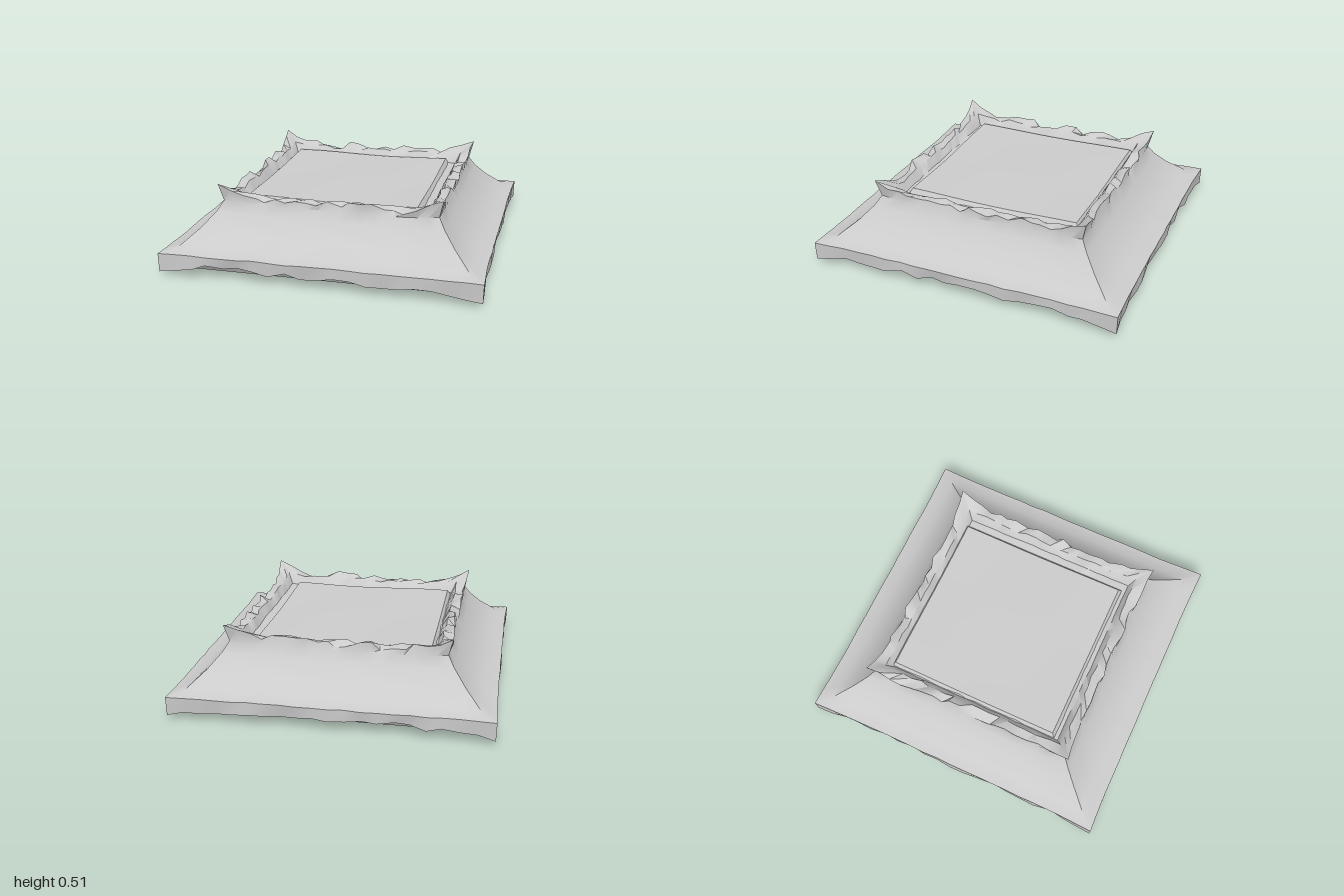
import * as THREE from 'three';
import { toCreasedNormals } from 'three/addons/utils/BufferGeometryUtils.js';

const SEG = 20; // segments along each side

// repeatable noise in -1..1
function noise(a, b) {
  const s = Math.sin(a * 12.9898 + b * 78.233) * 43758.5453;
  return (s - Math.floor(s)) * 2 - 1;
}

// Cross-section of the roof: half width, height, chipping, corner lift, corner flare
const profile = [
  [0.800, 0.005, 0, 0, 0],
  [0.822, 0.00, 0, 0, 0],
  [0.86, 0.062, 0.006, -0.005, 0],
  [0.957, 0.070, 0.022, -0.042, 0.015],  // chipped lower eave
  [0.965, 0.144, 0.004, 0, 0.01],
  [0.88, 0.160, 0, 0.003, 0],
  [0.78, 0.237, 0, 0.015, 0],
  [0.705, 0.328, 0, 0.01, 0],
  [0.672, 0.385, 0, 0.015, -0.005],
  [0.668, 0.425, 0.030, 0.085, 0.026],   // chipped upper rim with corner horns
  [0.612, 0.424, 0.014, 0.02, 0],
  [0.580, 0.372, 0.006, 0, 0],
  [0.50, 0.367, 0, 0, 0],                // ledge under the panel
  [0.580, 0.356, 0.012, 0, 0],           // thin underside following the slope
  [0.648, 0.375, 0.010, 0, 0],
  [0.690, 0.318, 0, 0.01, 0],
  [0.768, 0.225, 0, 0.015, 0],
  [0.870, 0.145, 0, 0.003, 0],
  [0.838, 0.065, 0, 0, 0],               // inside of the base skirt
  [0.800, 0.005, 0, 0, 0],
];

function ringPoint([half, y, chip, lift, flare], ring, j) {
  const k = j % (SEG * 4);
  const side = Math.floor(k / SEG);
  const t = ((k % SEG) / SEG) * 2 - 1;
  const corner = Math.pow(Math.max(0, (Math.abs(t) - 0.7) / 0.3), 1.3);
  const rough = chip * (1 - corner);
  const width = half + flare * corner;
  const p = new THREE.Vector3(
    t * width + rough * 0.6 * noise(k, ring + 3),
    y + lift * corner + rough * noise(k, ring),
    width + rough * 0.5 * noise(k, ring + 7),
  );
  p.applyAxisAngle(new THREE.Vector3(0, 1, 0), side * Math.PI / 2);
  p.z *= 1 + 0.06 * (half - 0.63); // eaves are a little deeper than wide
  return p;
}

// Joins the square rings into one closed shell
function roofGeometry() {
  const positions = [];
  for (let i = 0; i < profile.length - 1; i++) {
    for (let j = 0; j < SEG * 4; j++) {
      const a = ringPoint(profile[i], i, j);
      const b = ringPoint(profile[i], i, j + 1);
      const c = ringPoint(profile[i + 1], i + 1, j + 1);
      const d = ringPoint(profile[i + 1], i + 1, j);
      for (const p of [a, b, c, a, c, d]) positions.push(p.x, p.y, p.z);
    }
  }
  const g = new THREE.BufferGeometry();
  g.setAttribute('position', new THREE.Float32BufferAttribute(positions, 3));
  return toCreasedNormals(g, 0.75);
}

// Slightly uneven slab with sloping sides
function panelGeometry() {
  const g = new THREE.BoxGeometry(1.12, 0.04, 1.16, 8, 1, 8);
  const p = g.attributes.position;
  for (let i = 0; i < p.count; i++) {
    const x = p.getX(i), z = p.getZ(i);
    if (p.getY(i) > 0) {
      p.setXYZ(i, x * 0.955, 0.02 + 0.006 * Math.sin(x * 6 + 1) * Math.cos(z * 5), z * 0.955);
    }
  }
  return toCreasedNormals(g, 0.5);
}

export function createModel() {
  const group = new THREE.Group();
  const material = new THREE.MeshStandardMaterial({ color: 0xcccccc });

  const roof = new THREE.Mesh(roofGeometry(), material);
  roof.name = 'roofShell';
  group.add(roof);

  const panel = new THREE.Mesh(panelGeometry(), material);
  panel.name = 'topPanel';
  panel.position.set(-0.022, 0.378, -0.02);
  group.add(panel);

  return group;
}
